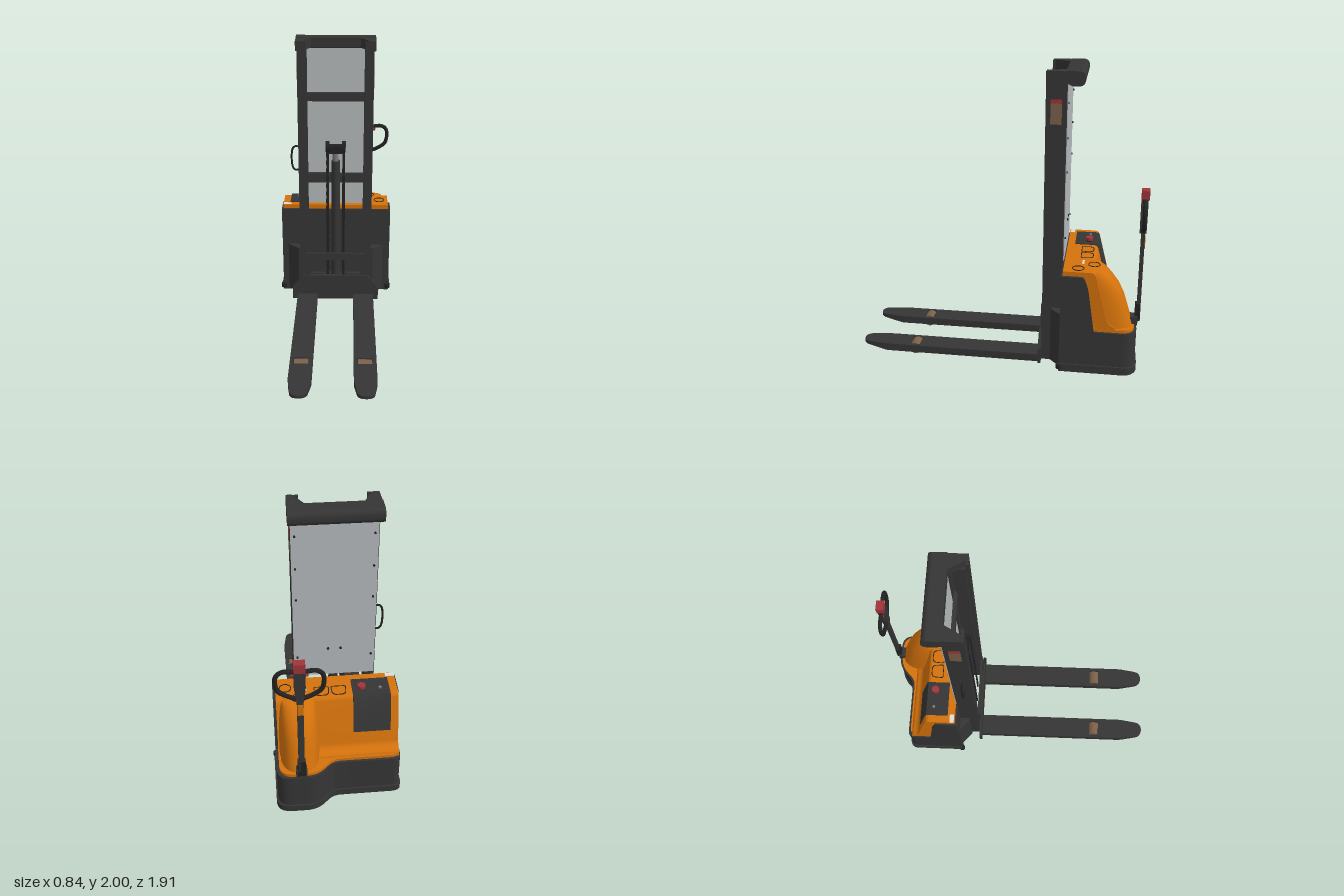
import * as THREE from 'three';
import { toCreasedNormals, mergeGeometries } from 'three/addons/utils/BufferGeometryUtils.js';

const mat = (name, color, side = THREE.FrontSide) => {
  const m = new THREE.MeshStandardMaterial({ color, side });
  m.name = name;
  return m;
};

export function createModel() {
  const root = new THREE.Group();
  const dark = mat('charcoal', 0x353535);
  const black = mat('black', 0x222222);
  const orange = mat('orange', 0xd4720c);
  const screenGrey = mat('screenGrey', 0xb6babc, THREE.DoubleSide);
  const red = mat('red', 0xa03438);
  const brown = mat('rollerBrown', 0x7b6048);
  const white = mat('labelWhite', 0xdcdcdc);
  const steel = mat('steel', 0x77797b);

  const add = (name, geo, material, x = 0, y = 0, z = 0) => {
    const m = new THREE.Mesh(geo, material);
    m.name = name;
    m.position.set(x, y, z);
    root.add(m);
    return m;
  };
  // box from min/max ranges
  const box = (name, m, x0, x1, y0, y1, z0, z1) =>
    add(name, new THREE.BoxGeometry(x1 - x0, y1 - y0, z1 - z0), m, (x0 + x1) / 2, (y0 + y1) / 2, (z0 + z1) / 2);
  const cyl = (name, m, r, h, x, y, z, axis = 'y', r2 = r) => {
    const g = new THREE.CylinderGeometry(r, r2, h, 28);
    if (axis === 'x') g.rotateZ(Math.PI / 2);
    if (axis === 'z') g.rotateX(Math.PI / 2);
    return add(name, g, m, x, y, z);
  };
  const poly = pts => new THREE.Shape(pts.map(p => new THREE.Vector2(p[0], p[1])));
  // polygon with rounded corners: [x, y, radius]
  const rounded = pts => {
    const s = new THREE.Shape();
    pts.forEach((p, i) => {
      const c = new THREE.Vector2(p[0], p[1]), r = p[2] || 0;
      const toward = q => new THREE.Vector2(q[0], q[1]).sub(c).setLength(r).add(c);
      const a = toward(pts[(i + pts.length - 1) % pts.length]), b = toward(pts[(i + 1) % pts.length]);
      if (i) s.lineTo(a.x, a.y); else s.moveTo(a.x, a.y);
      if (r) s.quadraticCurveTo(c.x, c.y, b.x, b.y);
    });
    s.closePath();
    return s;
  };
  const extrude = (shape, depth) => new THREE.ExtrudeGeometry(shape, { depth, bevelEnabled: false, curveSegments: 10 });
  const crease = g => toCreasedNormals(g, 0.6);
  // shape in (-z, y), extruded along x
  const side = (name, m, shape, x0, x1) => add(name, crease(extrude(shape, x1 - x0).rotateY(Math.PI / 2)), m, x0);
  // shape in (x, -z), extruded along y
  const plan = (name, m, shape, y0, y1) => add(name, crease(extrude(shape, y1 - y0).rotateX(-Math.PI / 2)), m, 0, y0);

  // ---- chassis ----
  const footprint = o => rounded([
    [-0.4 - o, 0.43], [0.405 + o, 0.43], [0.405 + o, 0.925 + o, 0.09], [0.15, 0.925 + o, 0.07],
    [0.04, 0.815 + o, 0.05], [-0.4 - o, 0.815 + o, 0.05]]);
  plan('chassisBase', dark, footprint(0), 0.04, 0.34);
  plan('bumperLip', dark, footprint(0.01), 0.055, 0.1);
  box('chassisFrontWall', dark, -0.4, 0.4, 0.04, 0.72, -0.445, -0.428);
  const sidePanel = rounded([[0.43, 0.04], [0.65, 0.04], [0.65, 0.34], [0.605, 0.64, 0.03], [0.575, 0.72, 0.02], [0.43, 0.72]]);
  side('chassisSide', dark, sidePanel, 0.385, 0.406);
  side('chassisSide', dark, sidePanel, -0.402, -0.38);
  for (const s of [-1, 1]) {
    const g = [[0.24, 0.36], [0.28, 0.36], [0.36, 0.43], [0.24, 0.43]].map(([x, z]) => [s * x, z]);
    plan('mastGusset', dark, poly(g), 0.05, 0.43);
    cyl('cornerBuffer', black, 0.02, 0.03, s * 0.4, 0.075, -0.43);
  }
  for (const [x, z] of [[0.22, -0.75], [-0.24, -0.62]]) {
    box('wheelWell', black, x - 0.08, x + 0.08, 0.037, 0.05, z - 0.085, z + 0.085);
    cyl('driveWheel', steel, 0.065, 0.08, x, 0.07, z, 'x');
  }

  // ---- orange cover ----
  plan('coverSkirt', orange, footprint(-0.016), 0.34, 0.36);
  side('coverBody', orange, rounded([[0.44, 0.34], [0.79, 0.34], [0.785, 0.375, 0.02], [0.735, 0.395, 0.03],
    [0.645, 0.75, 0.03], [0.44, 0.75]]), -0.39, 0.388);
  // domed motor hood lofted from rounded sections: [y, back z, half width]
  const rows = [[0.35, 0.9, 0.138], [0.4, 0.885, 0.136], [0.48, 0.86, 0.133], [0.56, 0.835, 0.129], [0.63, 0.8, 0.124],
    [0.69, 0.755, 0.117], [0.73, 0.715, 0.11], [0.749, 0.685, 0.1], [0.752, 0.64, 0.0]];
  const pos = [], idx = [], N = 24;
  rows.forEach(([y, back, hw], i) => {
    for (let j = 0; j <= N; j++) {
      const u = Math.PI * j / N, c = Math.cos(u);
      pos.push(0.252 + hw * Math.sign(c) * Math.abs(c) ** 0.75, y, -0.6 - (back - 0.6) * Math.abs(Math.sin(u)) ** 0.75);
      const a = i * (N + 1) + j, b = a + N + 1;
      if (i < rows.length - 1 && j < N) idx.push(a, a + 1, b, a + 1, b + 1, b);
    }
  });
  const hood = new THREE.BufferGeometry();
  hood.setAttribute('position', new THREE.Float32BufferAttribute(pos, 3));
  hood.setIndex(idx);
  hood.computeVertexNormals();
  add('motorHood', hood, orange);
  // control panel folding from the top over the sloping back
  side('controlPanel', dark, poly([[0.49, 0.748], [0.69, 0.5], [0.713, 0.5], [0.652, 0.74], [0.64, 0.755], [0.49, 0.755]]), -0.34, -0.1);
  cyl('stopButtonStem', black, 0.018, 0.02, -0.16, 0.76, -0.585);
  cyl('stopButton', red, 0.026, 0.02, -0.16, 0.775, -0.585);
  cyl('keySwitch', steel, 0.01, 0.012, -0.28, 0.759, -0.59);
  // trays and round recesses outlined on the top
  for (const x of [-0.015, 0.095]) {
    const tray = rounded([[x - 0.05, 0.54, 0.015], [x + 0.05, 0.54, 0.015], [x + 0.045, 0.625, 0.03], [x - 0.045, 0.625, 0.03]]);
    tray.holes.push(rounded([[x - 0.045, 0.545, 0.012], [x + 0.045, 0.545, 0.012], [x + 0.04, 0.62, 0.03], [x - 0.04, 0.62, 0.03]]));
    plan('trayRim', black, tray, 0.749, 0.752);
  }
  for (const [x, z] of [[0.25, -0.635], [0.325, -0.535]])
    add('cupRim', new THREE.TorusGeometry(0.037, 0.003, 6, 32).rotateX(Math.PI / 2), black, x, 0.752, z);
  box('label', white, -0.39, -0.33, 0.749, 0.753, -0.475, -0.445);
  box('label', white, 0.19, 0.25, 0.749, 0.753, -0.57, -0.555);

  // ---- mast ----
  for (const s of [-1, 1]) {
    const channel = [[0.2, 0.3], [0.262, 0.3], [0.262, 0.43], [0.2, 0.43], [0.2, 0.415], [0.248, 0.415], [0.248, 0.315], [0.2, 0.315]];
    plan('outerMast', dark, poly(channel.map(([x, z]) => [s * x, z])), 0.04, 1.995);
    const xs = [s * 0.205, s * 0.238].sort((a, b) => a - b);
    box('innerMast', dark, xs[0], xs[1], 0.05, 1.93, -0.4, -0.325);
    // warning decal on the mast flank
    const d = [s * 0.261, s * 0.265].sort((a, b) => a - b);
    box('decal', brown, d[0], d[1], 1.67, 1.8, -0.4, -0.33);
    box('decalHeader', red, d[0], d[1], 1.8, 1.825, -0.4, -0.33);
  }
  box('upperCrossbar', dark, -0.21, 0.21, 1.56, 1.62, -0.415, -0.39);
  box('middleCrossbar', dark, -0.21, 0.21, 0.95, 1.02, -0.415, -0.39);
  box('lowerCrossbar', dark, -0.21, 0.21, 0.06, 0.2, -0.415, -0.39);
  side('mastCap', dark, rounded([[0.42, 1.93], [0.46, 1.91], [0.54, 1.91, 0.04], [0.54, 2, 0.04], [0.42, 2]]), -0.275, 0.275);
  plan('capArms', dark, poly([[-0.272, 0.302], [-0.235, 0.302], [-0.17, 0.42], [0.17, 0.42], [0.235, 0.302], [0.272, 0.302],
    [0.272, 0.44], [-0.272, 0.44]]), 1.93, 1.998);
  box('screen', screenGrey, -0.258, 0.258, 0.77, 1.93, -0.437, -0.432);
  for (const x of [-0.04, 0.04]) cyl('screenBolt', black, 0.008, 0.01, x, 0.98, -0.44, 'z');
  for (const x of [-0.235, 0.235])
    for (const y of [0.92, 1.36, 1.58, 1.8]) cyl('screenBolt', black, 0.007, 0.012, x, y, -0.438, 'z');
  // grab loop on the mast flank
  const grab = new THREE.CatmullRomCurve3([[-0.255, 1.065], [-0.29, 1.06], [-0.308, 1.085], [-0.308, 1.215], [-0.29, 1.238], [-0.255, 1.235]]
    .map(([x, y]) => new THREE.Vector3(x, y, -0.36)));
  add('grabLoop', new THREE.TubeGeometry(grab, 30, 0.007, 8), black);

  // ---- lift cylinder, crosshead and chains ----
  cyl('liftCylinder', dark, 0.031, 0.97, 0, 0.645, -0.365);
  cyl('liftRod', steel, 0.021, 0.1, 0, 1.165, -0.365);
  box('crosshead', black, -0.055, 0.055, 1.19, 1.245, -0.395, -0.335);
  for (const s of [-1, 1]) {
    cyl('chainPulley', black, 0.04, 0.028, s * 0.058, 1.235, -0.365, 'x');
    const links = [];
    for (let i = 0; i < 34; i++)
      for (const z of [-0.327, -0.403])
        links.push(new THREE.BoxGeometry(i % 2 ? 0.012 : 0.02, 0.03, 0.01).translate(s * 0.058, 0.24 + i * 0.0295, z));
    add('liftChain', mergeGeometries(links), black);
  }

  // ---- fork carriage ----
  add('carriagePlate', extrude(poly([[-0.322, 0.04], [0.322, 0.04], [0.322, 0.14], [0.24, 0.24], [-0.24, 0.24], [-0.322, 0.14]]), 0.02),
    dark, 0, 0, -0.3);
  box('carriageBar', dark, -0.215, 0.215, 0.365, 0.42, -0.305, -0.29);
  for (const s of [-1, 1]) box('carriagePost', dark, s * 0.205 - 0.02, s * 0.205 + 0.02, 0.05, 0.42, -0.31, -0.289);

  // ---- forks with load rollers ----
  for (const s of [-1, 1]) {
    const x = s * 0.21;
    const fork = rounded([[x - 0.075, 0.29], [x + 0.075, 0.29], [x + 0.075, -0.79, 0.03], [x + 0.05, -0.955, 0.05], [x - 0.05, -0.955, 0.05], [x - 0.075, -0.79, 0.03]]);
    fork.holes.push(poly([[x - 0.052, -0.55], [x - 0.052, -0.62], [x + 0.052, -0.62], [x + 0.052, -0.55]]));
    const g = extrude(fork, 0.052).rotateX(-Math.PI / 2).translate(0, 0.03, 0);
    const p = g.attributes.position;
    // the underside rises toward the tip
    for (let i = 0; i < p.count; i++)
      if (p.getY(i) < 0.04) p.setY(i, 0.03 + 0.032 * Math.max(0, (p.getZ(i) - 0.78) / 0.175));
    g.computeVertexNormals();
    add('fork', crease(g), dark);
    cyl('loadRoller', brown, 0.041, 0.092, x, 0.046, 0.585, 'x');
  }

  // ---- tiller ----
  const tx = 0.25, tz = -0.932;
  box('tillerMount', dark, tx - 0.035, tx + 0.035, 0.35, 0.41, -0.93, -0.87);
  box('tillerHinge', black, tx - 0.025, tx + 0.025, 0.38, 0.5, -0.945, -0.91);
  box('tillerShaft', dark, tx - 0.019, tx + 0.019, 0.42, 1.04, -0.945, -0.921);
  box('tillerPlate', orange, tx - 0.017, tx + 0.017, 0.89, 0.97, -0.949, -0.944);
  add('tillerHead', extrude(poly([[-0.02, 0.99], [0.02, 0.99], [0.034, 1.1], [0.034, 1.22], [-0.034, 1.22], [-0.034, 1.1]]), 0.042), dark, tx, 0, -0.953);
  box('tillerTop', red, tx - 0.034, tx + 0.034, 1.215, 1.275, -0.96, -0.91);
  for (const s of [-1, 1]) {
    const loop = new THREE.CatmullRomCurve3([[0.012, 1.005], [0.07, 1.03], [0.125, 1.07], [0.14, 1.12], [0.135, 1.18], [0.1, 1.21], [0.02, 1.205]]
      .map(([x, y]) => new THREE.Vector3(tx + s * x, y, tz)));
    add('handGrip', new THREE.TubeGeometry(loop, 40, 0.014, 10), black);
    cyl('thumbWheel', red, 0.016, 0.02, tx + s * 0.04, 1.19, tz, 'x');
  }
  return root;
}
